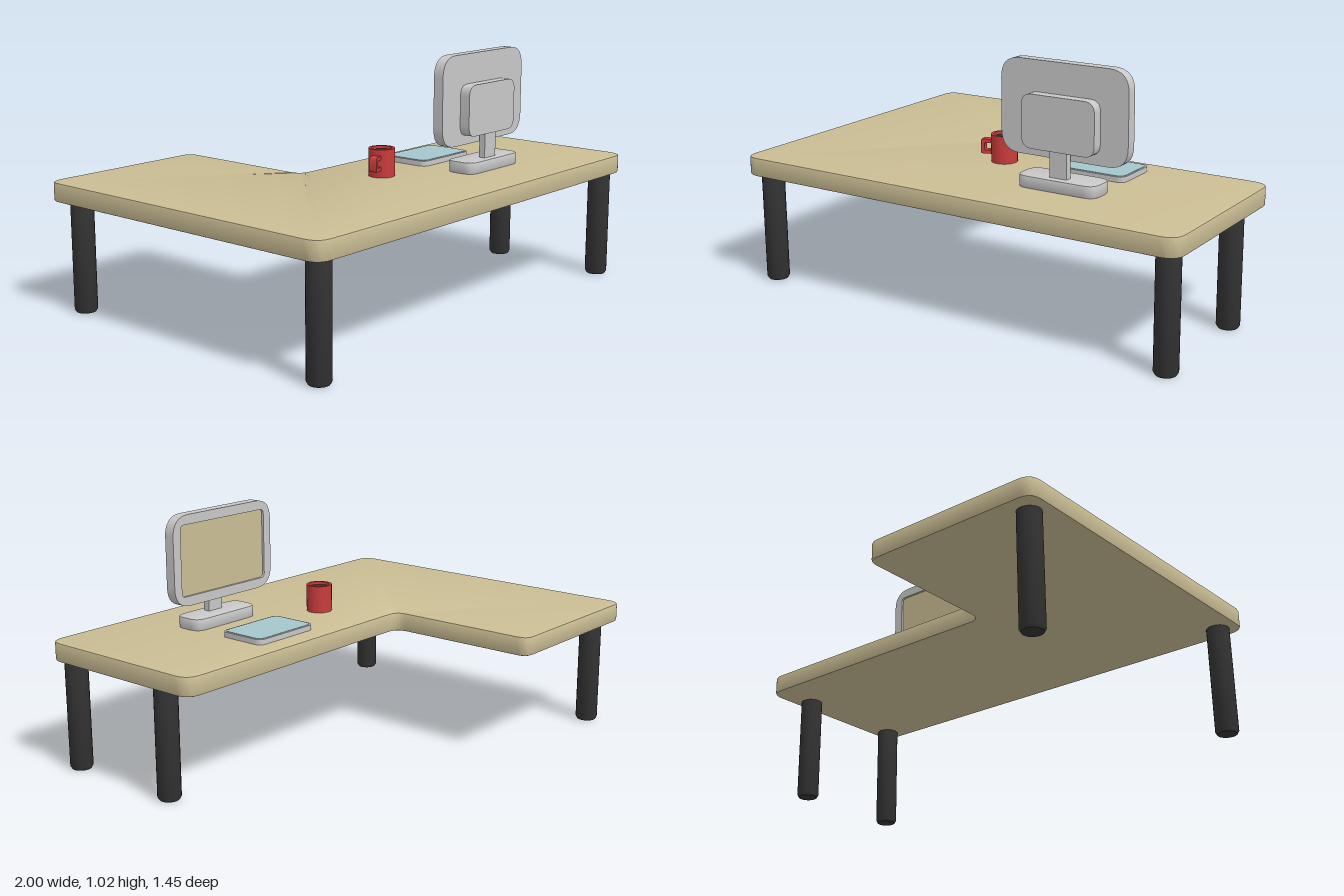
import * as THREE from 'three';
import { toCreasedNormals } from 'three/addons/utils/BufferGeometryUtils.js';

const material = (name, color, side = THREE.FrontSide) =>
  new THREE.MeshStandardMaterial({ name, color, side });

// Closed outline from corners [x, y, radius], each corner rounded by a curve
function roundedOutline(corners, Type = THREE.Shape) {
  const path = new Type();
  const n = corners.length;
  corners.forEach(([x, y, r], i) => {
    const p = new THREE.Vector2(x, y);
    const toward = ([cx, cy]) =>
      new THREE.Vector2(cx, cy).sub(p).setLength(r).add(p);
    const a = toward(corners[(i + n - 1) % n]);
    const b = toward(corners[(i + 1) % n]);
    if (i === 0) path.moveTo(a.x, a.y);
    else path.lineTo(a.x, a.y);
    path.quadraticCurveTo(p.x, p.y, b.x, b.y);
  });
  path.closePath();
  return path;
}

const roundedRect = (x0, y0, x1, y1, r, Type) =>
  roundedOutline([[x0, y0, r], [x1, y0, r], [x1, y1, r], [x0, y1, r]], Type);

// Extrusion along +z from 0 to depth, with an optional inward bevel
function slab(shape, depth, bevel = 0) {
  const geometry = new THREE.ExtrudeGeometry(shape, {
    depth: depth - 2 * bevel,
    bevelEnabled: bevel > 0,
    bevelThickness: bevel,
    bevelSize: bevel,
    bevelOffset: -bevel,
    bevelSegments: 2,
    curveSegments: 8,
  });
  geometry.translate(0, 0, bevel);
  return toCreasedNormals(geometry, 0.6);
}

// Extrusion lying flat: shape y becomes -z, depth goes up
const flatSlab = (shape, depth, bevel) => slab(shape, depth, bevel).rotateX(-Math.PI / 2);

function add(parent, name, geometry, mat, x = 0, y = 0, z = 0) {
  const mesh = new THREE.Mesh(geometry, mat);
  mesh.name = name;
  mesh.position.set(x, y, z);
  parent.add(mesh);
  return mesh;
}

const lathe = (points, segments) => toCreasedNormals(
  new THREE.LatheGeometry(points.map(([r, y]) => new THREE.Vector2(r, y)), segments), 0.6);

export function createModel() {
  const model = new THREE.Group();
  model.name = 'cornerDesk';

  const wood = material('wood', 0xcabd94);
  const black = material('black', 0x353535);
  const grey = material('grey', 0xc8c8c8);
  const red = material('red', 0xc83c3c, THREE.DoubleSide);
  const blue = material('paleBlue', 0xa4c6cc);

  const deskTop = 0.538;

  // L-shaped desk top
  const outline = roundedOutline([
    [-1, -0.72, 0.07], [1, -0.72, 0.07], [1, 0.07, 0.07],
    [-0.235, 0.07, 0.05], [-0.235, 0.728, 0.05], [-1, 0.728, 0.06],
  ]);
  add(model, 'deskTop', flatSlab(outline, deskTop - 0.458, 0.008), wood, 0, 0.458, 0);

  // Round legs with softened ends
  const legGeometry = lathe([[0, 0], [0.04, 0], [0.047, 0.012], [0.047, 0.46], [0, 0.46]], 24);
  for (const [x, z] of [[-0.915, 0.643], [0.93, 0.643], [0.93, 0.125], [-0.915, -0.628]]) {
    add(model, 'leg', legGeometry, black, x, 0, z);
  }

  // Monitor, with its screen facing the back of the desk
  const monitor = new THREE.Group();
  monitor.name = 'monitor';
  model.add(monitor);
  const bezel = roundedRect(0.08, 0.65, 0.638, 1.023, 0.085);
  bezel.holes.push(roundedRect(0.12, 0.69, 0.598, 0.983, 0.02, THREE.Path));
  add(monitor, 'screenFrame', slab(bezel, 0.03), grey, 0, 0, 0.37);
  add(monitor, 'screenBack', slab(roundedRect(0.08, 0.65, 0.638, 1.023, 0.085), 0.015),
    grey, 0, 0, 0.4);
  add(monitor, 'screen', new THREE.BoxGeometry(0.478, 0.293, 0.008), wood, 0.359, 0.8365, 0.384);
  add(monitor, 'rearHousing', slab(roundedRect(0.2, 0.688, 0.52, 0.9, 0.045), 0.046),
    grey, 0, 0, 0.414);
  add(monitor, 'neck', new THREE.BoxGeometry(0.076, 0.13, 0.028), grey, 0.36, 0.635, 0.44);
  add(monitor, 'base', flatSlab(roundedRect(0.188, -0.485, 0.535, -0.352, 0.05), 0.049, 0.004),
    grey, 0, deskTop - 0.001, 0);

  // Tablet with a thin coloured top
  add(model, 'tabletBody', flatSlab(roundedRect(0.2, -0.235, 0.52, -0.02, 0.035), 0.022),
    grey, 0, deskTop, 0);
  add(model, 'tabletTop', flatSlab(roundedRect(0.207, -0.228, 0.513, -0.027, 0.032), 0.003),
    blue, 0, deskTop + 0.021, 0);

  // Mug with a drink and a squared handle
  const mug = new THREE.Group();
  mug.name = 'mug';
  mug.position.set(-0.048, deskTop, 0.207);
  mug.rotation.y = Math.PI + 0.3;
  model.add(mug);
  add(mug, 'mugBody', lathe([[0, 0], [0.054, 0], [0.054, 0.115], [0.042, 0.115], [0.042, 0.09]], 28), red);
  add(mug, 'drink', new THREE.CylinderGeometry(0.042, 0.042, 0.006, 28), black, 0, 0.1, 0);
  const handle = roundedRect(0.045, 0.03, 0.095, 0.09, 0.008);
  handle.holes.push(roundedRect(0.05, 0.045, 0.08, 0.075, 0.004, THREE.Path));
  add(mug, 'mugHandle', slab(handle, 0.034), red, 0, 0, -0.017);

  return model;
}
